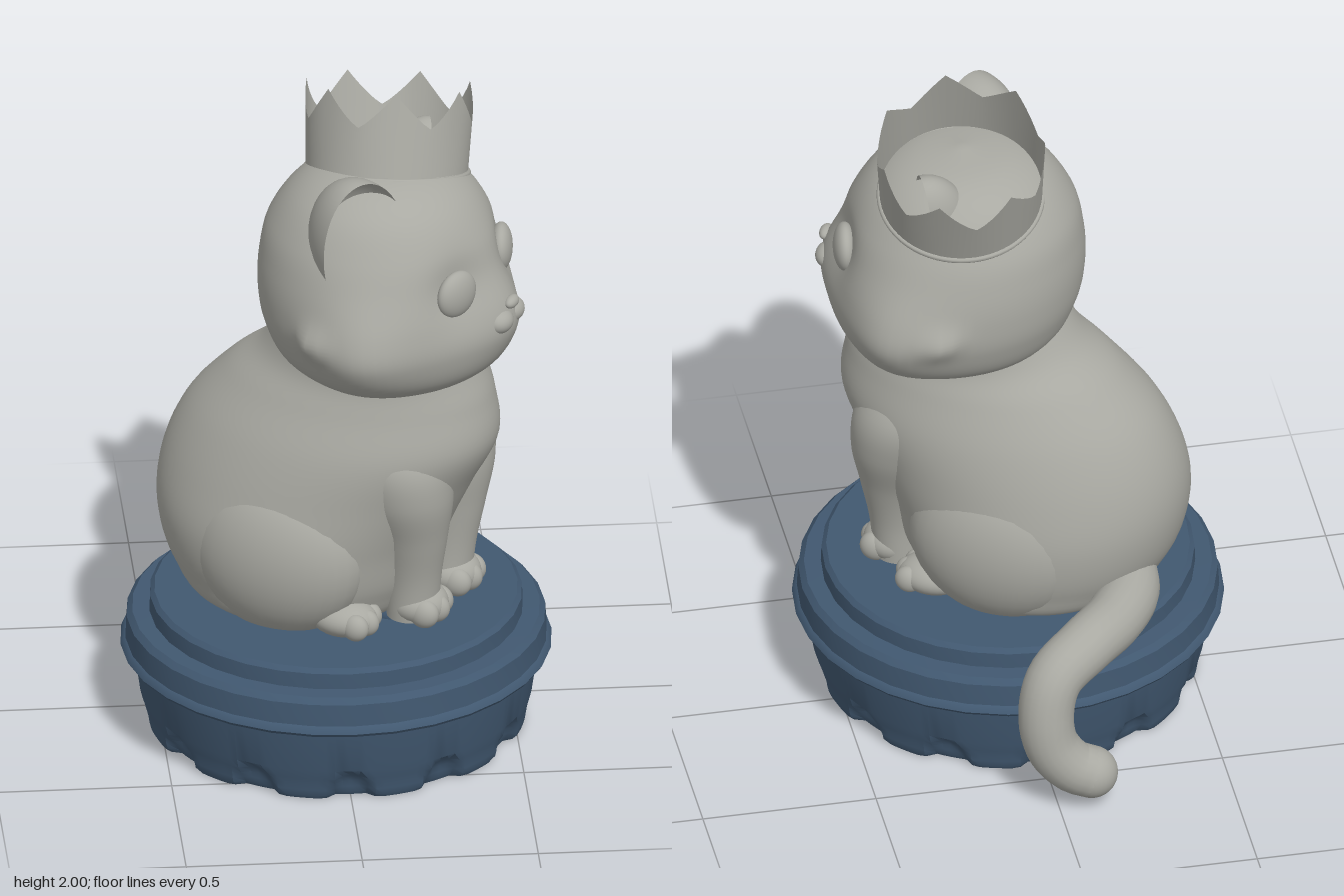
import * as THREE from 'three';
import { mergeVertices, toCreasedNormals } from 'three/addons/utils/BufferGeometryUtils.js';

const fur = new THREE.MeshStandardMaterial({ color: 0xa9a9a2, side: THREE.DoubleSide });
fur.name = 'warm grey';
const blue = new THREE.MeshStandardMaterial({ color: 0x415870 });
blue.name = 'slate blue';

function add(parent, name, geometry, material, x = 0, y = 0, z = 0) {
  const mesh = new THREE.Mesh(geometry, material);
  mesh.name = name;
  mesh.position.set(x, y, z);
  parent.add(mesh);
  return mesh;
}

// Ellipsoid with half sizes rx, ry, rz
function blob(parent, name, [x, y, z], [rx, ry, rz], material = fur) {
  return add(parent, name, new THREE.SphereGeometry(1, 32, 20).scale(rx, ry, rz), material, x, y, z);
}

// Smooth skin over elliptical sections [y, centre x, centre z, radius x, radius z],
// then swollen or dented by soft bumps { at, push, size }
function loft(sections, rows = 54, bumps = []) {
  const spline = points => new THREE.CatmullRomCurve3(points, false, 'catmullrom', 0.5);
  const centres = spline(sections.map(s => new THREE.Vector3(s[1], s[0], s[2])));
  const radii = spline(sections.map(s => new THREE.Vector3(s[3], 0, s[4])));
  let g = new THREE.CylinderGeometry(1, 1, 1, 72, rows, true);
  const p = g.attributes.position, v = new THREE.Vector3(), move = new THREE.Vector3();
  for (let i = 0; i < p.count; i++) {
    const t = THREE.MathUtils.clamp(p.getY(i) + 0.5, 0, 1);
    const c = centres.getPoint(t), r = radii.getPoint(t);
    v.set(c.x + Math.max(r.x, 0) * p.getX(i), c.y, c.z + Math.max(r.z, 0) * p.getZ(i));
    move.set(0, 0, 0);
    for (const b of bumps) move.addScaledVector(b.push, Math.exp(-v.distanceToSquared(b.at) / b.size ** 2));
    v.add(move);
    p.setXYZ(i, v.x, v.y, v.z);
  }
  g.deleteAttribute('uv');
  g.deleteAttribute('normal');
  g = mergeVertices(g, 1e-5);
  g.computeVertexNormals();
  return g;
}

// Tube whose radius changes along the path
function taperedTube(points, radiusAt) {
  const curve = new THREE.CatmullRomCurve3(points.map(p => new THREE.Vector3(...p)));
  const steps = 48, sides = 20;
  const g = new THREE.TubeGeometry(curve, steps, 1, sides);
  const p = g.attributes.position, v = new THREE.Vector3();
  for (let i = 0; i < p.count; i++) {
    const t = Math.floor(i / (sides + 1)) / steps;
    const c = curve.getPointAt(t);
    v.fromBufferAttribute(p, i).sub(c).multiplyScalar(radiusAt(t)).add(c);
    p.setXYZ(i, v.x, v.y, v.z);
  }
  g.computeVertexNormals();
  return g;
}

// Round tub with a flanged lid and shallow arched dents around its foot
function buildPedestal() {
  const group = new THREE.Group();
  group.name = 'pedestal';
  group.position.z = 0.09;
  const tub = new THREE.LatheGeometry([
    [0, 0], [0.53, 0], [0.537, 0.012], [0.54, 0.03], [0.543, 0.05], [0.548, 0.07], [0.556, 0.1],
    [0.575, 0.235],
  ].map(a => new THREE.Vector2(...a)), 144);
  const p = tub.attributes.position;
  for (let i = 0; i < p.count; i++) {
    const x = p.getX(i), y = p.getY(i), z = p.getZ(i);
    if (y > 0.08) continue;
    const wave = Math.cos(Math.atan2(z, x) * 12);
    const k = 1 - 0.055 * THREE.MathUtils.smoothstep(wave, -0.2 + y * 9, 0.5 + y * 9);
    p.setXYZ(i, x * k, y, z * k);
  }
  add(group, 'tub', toCreasedNormals(tub, 0.7), blue);
  const lid = new THREE.LatheGeometry([
    [0.5, 0.235], [0.605, 0.235], [0.612, 0.245], [0.605, 0.26], [0.598, 0.265], [0.594, 0.33],
    [0.578, 0.347], [0.53, 0.349], [0.528, 0.395], [0.515, 0.408], [0, 0.408],
  ].map(a => new THREE.Vector2(...a)), 32);
  add(group, 'lid', toCreasedNormals(lid, 0.6), blue);
  return group;
}

function buildHead() {
  const head = new THREE.Group();
  head.name = 'head';
  head.rotation.y = 0.04;
  // Muzzle and nose bridge swell; cheeks, cheek tufts and eye sockets are mirrored
  const bump = (at, push, size) => ({ at: new THREE.Vector3(...at), push: new THREE.Vector3(...push), size });
  const bumps = [bump([0.55, 1.35, 0], [0.03, 0, 0], 0.12)];
  for (const s of [-1, 1]) {
    bumps.push(
      bump([0.27, 1.32, s * 0.375], [0.01, 0, s * 0.062], 0.16),
      bump([0.12, 1.36, s * 0.38], [-0.02, 0, s * 0.025], 0.05),
      bump([0.49, 1.485, s * 0.16], [-0.03, 0, -s * 0.01], 0.1),
    );
  }
  add(head, 'skull', loft([
    [1.12, 0.2, 0, 0, 0], [1.14, 0.2, 0, 0.2, 0.2], [1.2, 0.2, 0, 0.31, 0.315],
    [1.3, 0.195, 0, 0.355, 0.365], [1.4, 0.185, 0, 0.362, 0.372], [1.5, 0.175, 0, 0.348, 0.358],
    [1.6, 0.17, 0, 0.32, 0.325], [1.7, 0.17, 0, 0.25, 0.26], [1.76, 0.17, 0, 0.15, 0.16],
    [1.785, 0.17, 0, 0, 0],
  ], 72, bumps), fur);
  blob(head, 'chin', [0.53, 1.295, 0], [0.042, 0.03, 0.05]);
  blob(head, 'nose', [0.572, 1.405, 0], [0.018, 0.018, 0.032]);
  for (const s of [-1, 1]) {
    blob(head, 'whiskerPad', [0.55, 1.358, s * 0.04], [0.04, 0.036, 0.048]);
    blob(head, 'eye', [0.47, 1.483, s * 0.16], [0.034, 0.07, 0.072]).rotation.y = -s * 0.35;
    // Hollow ear: a deep rear shell with a shallower one inside it
    const ear = new THREE.Group();
    ear.name = 'ear';
    for (const [name, depth] of [['earBack', 0.19], ['earHollow', 0.11]]) {
      const shell = new THREE.SphereGeometry(1, 20, 24, -Math.PI / 2, Math.PI);
      add(ear, name, shell.scale(depth, 0.23, 0.14), fur);
    }
    ear.position.set(0.22, 1.61, s * (s > 0 ? 0.24 : 0.19));
    ear.rotation.set(s * 0.22, -s * 0.55, 0);
    if (s < 0) ear.scale.set(0.7, 0.9, 0.7);
    head.add(ear);
  }
  return head;
}

function buildCat() {
  const cat = new THREE.Group();
  cat.name = 'cat';
  cat.position.set(-0.025, 0, 0.043);
  cat.rotation.y = -Math.PI / 6;
  add(cat, 'body', loft([
    [0.4, -0.05, 0.015, 0, 0], [0.405, -0.05, 0.015, 0.29, 0.3], [0.5, -0.055, 0.015, 0.385, 0.365],
    [0.65, -0.055, 0.015, 0.43, 0.385], [0.8, -0.015, 0.01, 0.46, 0.365],
    [0.95, 0.055, 0.005, 0.465, 0.33], [1.08, 0.108, 0, 0.402, 0.28], [1.17, 0.15, 0, 0.335, 0.25],
    [1.28, 0.17, 0, 0.28, 0.25],
  ]), fur);
  cat.add(buildHead());
  blob(cat, 'mound', [0.25, 0.41, 0], [0.11, 0.075, 0.16], blue);
  for (const s of [-1, 1]) {
    // Front leg and paw
    const legZ = 0.005 * -1 + s * 0.108;
    add(cat, 'frontLeg', loft([
      [0.42, 0.32, legZ, 0.075, 0.078], [0.55, 0.325, legZ + s * 0.007, 0.082, 0.08],
      [0.68, 0.325, legZ + s * 0.018, 0.105, 0.1], [0.82, 0.305, legZ + s * 0.03, 0.145, 0.138],
      [0.95, 0.27, legZ + s * 0.03, 0.16, 0.145], [1.08, 0.23, legZ, 0.1, 0.1],
    ], 32), fur);
    blob(cat, 'frontPaw', [0.34, 0.458, legZ], [0.085, 0.06, 0.085]);
    // Haunch and hind paw
    const haunchZ = 0.015 + s * 0.25;
    blob(cat, 'haunch', [-0.02, 0.62, haunchZ], [0.265, 0.25, 0.16]);
    blob(cat, 'hindPaw', [0.18, 0.45, haunchZ], [0.1, 0.055, 0.08]);
    for (const t of [-1, 0, 1]) {
      const back = 0.012 * Math.abs(t);
      blob(cat, 'frontToe', [0.39 - back, 0.449, legZ + t * 0.048], [0.045, 0.044, 0.035]);
      blob(cat, 'hindToe', [0.25 - back, 0.445, haunchZ + t * 0.044], [0.04, 0.04, 0.032]);
    }
  }
  return cat;
}

// Tail curling over the rim of the pedestal
function buildTail() {
  const tail = new THREE.Group();
  tail.name = 'tail';
  const points = [
    [-0.27, 0.5, -0.12], [-0.275, 0.47, -0.28], [-0.21, 0.46, -0.4], [-0.105, 0.452, -0.505],
    [0, 0.4, -0.575], [0.03, 0.3, -0.605], [0.015, 0.2, -0.62], [-0.04, 0.13, -0.63],
    [-0.095, 0.105, -0.635],
  ];
  add(tail, 'tailCurve', taperedTube(points, t => 0.09 - 0.015 * t), fur);
  blob(tail, 'tailTip', points[points.length - 1], [0.075, 0.075, 0.075]);
  return tail;
}

// Tilted open crown with seven points
function buildCrown() {
  const crown = new THREE.Group();
  crown.name = 'crown';
  crown.position.set(0.15, 1.69, 0.02);
  crown.rotation.set(-0.32, 0, -0.06);
  const wall = new THREE.CylinderGeometry(0.238, 0.23, 1, 70, 4, true);
  const p = wall.attributes.position;
  for (let i = 0; i < p.count; i++) {
    const a = Math.atan2(p.getZ(i), p.getX(i)) - Math.PI / 2;
    const cycle = Math.abs(((a * 7 / (2 * Math.PI)) % 1 + 1) % 1 - 0.5) * 2;
    p.setY(i, (p.getY(i) + 0.5) * (0.15 + 0.1 * cycle ** 1.2));
  }
  wall.computeVertexNormals();
  add(crown, 'crownWall', wall, fur);
  add(crown, 'crownBand', new THREE.TorusGeometry(0.23, 0.009, 8, 64).rotateX(Math.PI / 2), fur);
  return crown;
}

export function createModel() {
  const model = new THREE.Group();
  model.name = 'crownedCatOnPedestal';
  model.add(buildPedestal(), buildCat(), buildTail(), buildCrown());
  return model;
}
